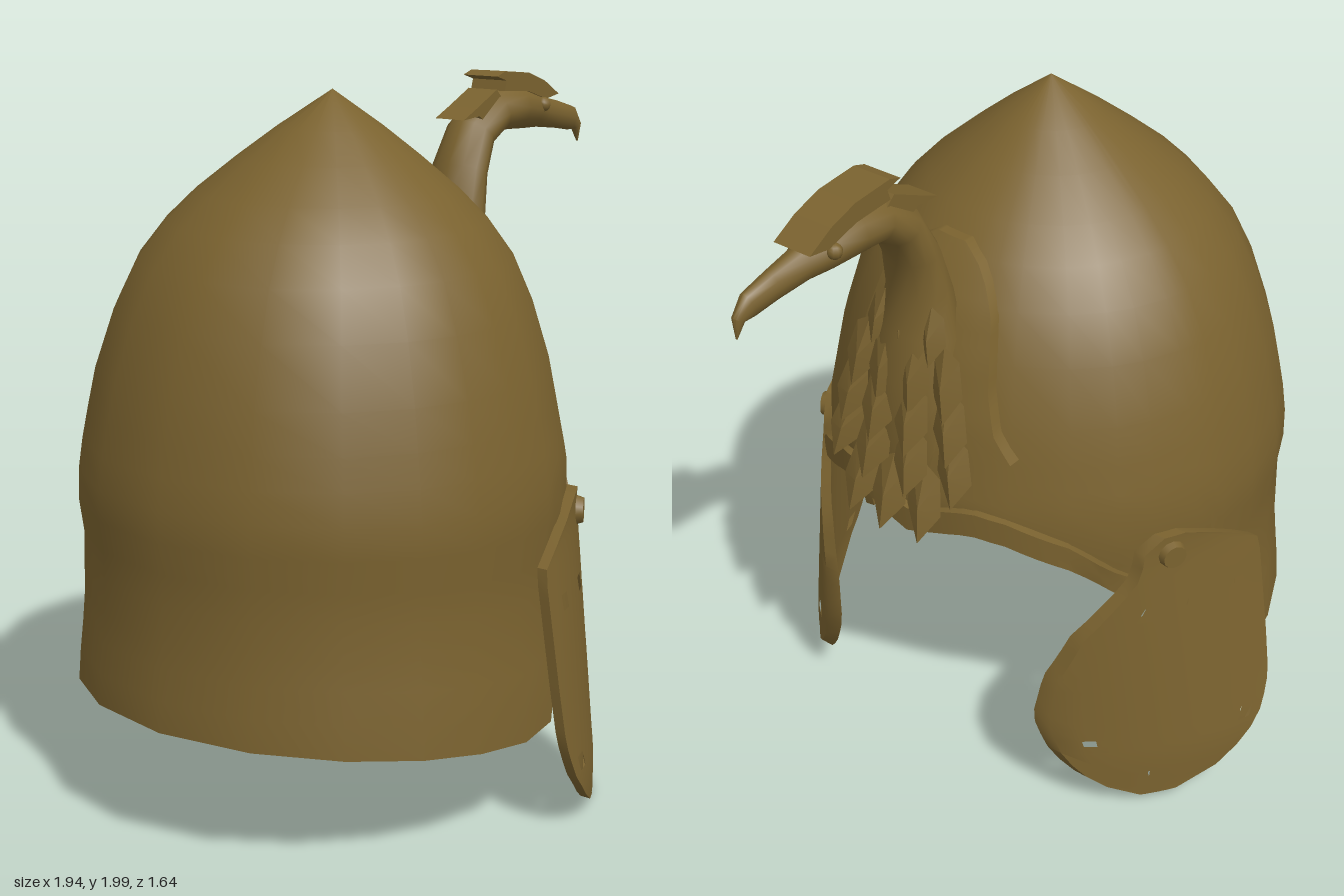
import * as THREE from 'three';
import { toCreasedNormals } from 'three/addons/utils/BufferGeometryUtils.js';

const bronze = new THREE.MeshStandardMaterial({ color: 0x7a622f, side: THREE.DoubleSide });
bronze.name = 'aged bronze';

const AXIS_X = -0.27;
const BIRD_Z = 0.055;

// Linear lookup in rows of [key, value, ...]
function look(table, k, col = 1) {
  if (k <= table[0][0]) return table[0][col];
  for (let i = 1; i < table.length; i++) {
    const a = table[i - 1], b = table[i];
    if (k <= b[0]) return a[col] + (b[col] - a[col]) * (k - a[0]) / (b[0] - a[0]);
  }
  return table[table.length - 1][col];
}

function addMesh(group, name, geometry) {
  const m = new THREE.Mesh(geometry, bronze);
  m.name = name;
  group.add(m);
  return m;
}

function geometryFrom(points, index, crease) {
  const g = new THREE.BufferGeometry();
  g.setAttribute('position', new THREE.Float32BufferAttribute(points.flatMap(p => [p.x, p.y, p.z]), 3));
  g.setIndex(index);
  return toCreasedNormals(g, crease);
}

// Curved plate with thickness: f(i, j, layer) gives a point, layer 0 outside, 1 inside
function shell(nu, nv, f, skip = () => false) {
  const pts = [], idx = [];
  const id = (i, j, l) => l * (nu + 1) * (nv + 1) + j * (nu + 1) + i;
  const quad = (a, b, c, d) => idx.push(a, b, c, a, c, d);
  for (let l = 0; l < 2; l++)
    for (let j = 0; j <= nv; j++)
      for (let i = 0; i <= nu; i++) pts.push(f(i, j, l));
  for (let j = 0; j < nv; j++)
    for (let i = 0; i < nu; i++) {
      if (skip(i, j)) continue;
      quad(id(i, j, 0), id(i, j + 1, 0), id(i + 1, j + 1, 0), id(i + 1, j, 0));
      quad(id(i, j, 1), id(i + 1, j, 1), id(i + 1, j + 1, 1), id(i, j + 1, 1));
    }
  for (let i = 0; i < nu; i++) {
    quad(id(i, 0, 0), id(i + 1, 0, 0), id(i + 1, 0, 1), id(i, 0, 1));
    quad(id(i, nv, 0), id(i, nv, 1), id(i + 1, nv, 1), id(i + 1, nv, 0));
  }
  for (let j = 0; j < nv; j++) {
    quad(id(0, j, 0), id(0, j, 1), id(0, j + 1, 1), id(0, j + 1, 0));
    quad(id(nu, j, 0), id(nu, j + 1, 0), id(nu, j + 1, 1), id(nu, j, 1));
  }
  return geometryFrom(pts, idx, 0.7);
}

// Bowl radius by height, and height of the lower edge by angle from the front
const PROFILE = [[0.29, 0.705], [0.4, 0.7], [0.6, 0.677], [0.8, 0.672], [0.84, 0.684], [1, 0.68], [1.15, 0.65],
  [1.26, 0.627], [1.42, 0.575], [1.55, 0.515], [1.65, 0.44], [1.73, 0.36], [1.82, 0.25], [1.9, 0.145], [2, 0]];
const EDGE = [[0, 0.88], [0.14, 0.91], [0.29, 0.935], [0.44, 0.92], [0.7, 0.85], [0.9, 0.74], [1.05, 0.68],
  [1.25, 0.6], [1.33, 0.52], [1.36, 0.4], [1.4, 0.31], [1.6, 0.3], [1.85, 0.32], [2.1, 0.34], [2.4, 0.36], [2.75, 0.375], [Math.PI, 0.38]];

function onBowl(y, angle, off) {
  const r = Math.max(0, look(PROFILE, y) + off);
  const lean = 0.015 + 0.04 * Math.max(0, (y - 1.05) / 0.95) ** 2;
  return new THREE.Vector3(AXIS_X + r * Math.cos(angle), y, lean + r * Math.sin(angle));
}

function buildBowl(group) {
  const half = EDGE.map(e => e[0]);
  const angles = [...half.slice(1).reverse().map(a => -a), ...half];
  const upper = PROFILE.filter(p => p[0] > 1.1).map(p => p[0]);
  const low = 9, nv = low + upper.length - 1;
  addMesh(group, 'helmetBowl', shell(angles.length - 1, nv, (i, j, l) => {
    const bottom = look(EDGE, Math.abs(angles[i]));
    const y = j < low ? bottom + (1.15 - bottom) * j / low : upper[j - low];
    const p = onBowl(y, angles[i], -0.03 * l);
    if (j === nv) p.y -= 0.03 * l;
    return p;
  }));
  // Raised rim over the face opening
  addMesh(group, 'browRim', shell(32, 2, (i, j, l) => {
    const a = -1 + i / 16;
    const bottom = look(EDGE, Math.abs(a));
    return onBowl(bottom - 0.005 + j * 0.037, a, l ? -0.035 : 0.022);
  }));
}

// Cheek guard outline: height, rear x, front x
const CHEEK = [[0.01, 0.08, 0.17], [0.06, -0.05, 0.25], [0.12, -0.13, 0.3], [0.2, -0.2, 0.33], [0.3, -0.235, 0.345],
  [0.45, -0.24, 0.325], [0.6, -0.24, 0.275], [0.7, -0.24, 0.21], [0.77, -0.24, 0.16], [0.81, -0.18, 0.145],
  [0.86, -0.09, 0.14], [0.89, -0.01, 0.125], [0.91, 0.03, 0.09]];
const HOLES = [[-0.15, 0.66], [0, 0.67], [0.12, 0.67], [-0.14, 0.22], [0.13, 0.08], [0.26, 0.2]];

function cheekPoint(x, y, off) {
  const drop = THREE.MathUtils.clamp((0.85 - y) / 0.7, 0, 1);
  const r = 0.725 + 0.11 * drop * (1 - 0.7 * (x + 0.24) / 0.57) + off;
  return new THREE.Vector3(x, y, Math.sqrt(r * r - (x - AXIS_X) ** 2));
}

function buildCheek(name) {
  const g = new THREE.Group();
  g.name = name;
  const nu = 12, nv = 20;
  const yAt = j => 0.01 + 0.9 * j / nv;
  const xAt = (i, y) => THREE.MathUtils.lerp(look(CHEEK, y, 1), look(CHEEK, y, 2), i / nu);
  const pierced = (i, j) => HOLES.some(([x, y]) =>
    y >= yAt(j) && y < yAt(j + 1) && x >= xAt(i, y) && x < xAt(i + 1, y));
  addMesh(g, 'cheekPlate', shell(nu, nv, (i, j, l) => cheekPoint(xAt(i, yAt(j)), yAt(j), -0.03 * l), pierced));
  const rivet = addMesh(g, 'cheekRivet', new THREE.CylinderGeometry(0.035, 0.045, 0.03, 12));
  rivet.position.copy(cheekPoint(0.07, 0.85, 0.005));
  const out = new THREE.Vector3(rivet.position.x - AXIS_X, 0, rivet.position.z).normalize();
  rivet.quaternion.setFromUnitVectors(new THREE.Vector3(0, 1, 0), out);
  return g;
}

// Chest, neck, head and hooked beak: x, y, half depth, half width
const BODY = [[0.4, 0.98, 0.02, 0.09], [0.38, 1.15, 0.055, 0.14], [0.34, 1.32, 0.085, 0.15], [0.305, 1.47, 0.095, 0.125],
  [0.305, 1.6, 0.075, 0.1], [0.335, 1.72, 0.062, 0.09], [0.39, 1.82, 0.062, 0.078], [0.48, 1.875, 0.064, 0.08],
  [0.58, 1.885, 0.07, 0.085], [0.67, 1.87, 0.06, 0.07], [0.74, 1.855, 0.047, 0.045], [0.84, 1.838, 0.042, 0.032],
  [0.92, 1.82, 0.038, 0.025], [0.955, 1.795, 0.02, 0.016], [0.965, 1.745, 0.002, 0.003]];

function buildBird(group) {
  const n = 12, pts = [], idx = [];
  BODY.forEach(([x, y, h, w], s) => {
    const a = BODY[Math.max(0, s - 1)], b = BODY[Math.min(BODY.length - 1, s + 1)];
    const t = Math.atan2(b[1] - a[1], b[0] - a[0]);
    for (let k = 0; k < n; k++) {
      const q = k / n * Math.PI * 2, c = h * Math.cos(q);
      pts.push(new THREE.Vector3(x - Math.sin(t) * c, y + Math.cos(t) * c,
        BIRD_Z + 0.03 * Math.max(0, x - 0.4) + w * Math.sin(q)));
      if (s) {
        const k2 = (k + 1) % n, p = (s - 1) * n, o = s * n;
        idx.push(p + k, p + k2, o + k2, p + k, o + k2, o + k);
      }
    }
  });
  addMesh(group, 'birdNeckAndHead', geometryFrom(pts, idx, 0.8));

  // Flat crest over the brow, nape tufts and eyes
  const plate = (name, corners, width, z) => {
    const g = new THREE.ExtrudeGeometry(new THREE.Shape(corners.map(c => new THREE.Vector2(...c))),
      { depth: width, bevelEnabled: false });
    addMesh(group, name, g).position.z = z - width / 2;
  };
  plate('headCrest', [[0.43, 1.985], [0.47, 1.997], [0.6, 1.985], [0.69, 1.955], [0.77, 1.91], [0.7, 1.9], [0.6, 1.93], [0.47, 1.94], [0.48, 1.97]], 0.12, BIRD_Z + 0.005);
  plate('napeTuft', [[0.28, 1.87], [0.35, 1.9], [0.45, 1.945], [0.5, 1.9], [0.4, 1.85], [0.36, 1.875]], 0.1, BIRD_Z);
  for (const s of [-1, 1]) {
    const eye = addMesh(group, s > 0 ? 'leftEye' : 'rightEye', new THREE.SphereGeometry(0.022, 10, 8));
    eye.position.set(0.68, 1.885, BIRD_Z + 0.008 + s * 0.06);
  }

  // Overlapping breast feathers: top x, top y, tip x, tip y, half width, side offsets
  const rows = [[0.36, 1.58, 0.405, 1.42, 0.045, [-0.08, 0, 0.08]],
    [0.385, 1.48, 0.44, 1.27, 0.055, [-0.13, -0.045, 0.045, 0.13]],
    [0.405, 1.36, 0.47, 1.15, 0.06, [-0.15, -0.05, 0.05, 0.15]],
    [0.425, 1.23, 0.49, 1.03, 0.06, [-0.17, -0.06, 0.06, 0.17]],
    [0.43, 1.12, 0.505, 0.9, 0.06, [-0.1, 0, 0.1]]];
  for (const [x0, y0, x1, y1, w, offsets] of rows)
    for (const o of offsets) {
      const at = (t, side, lift) => new THREE.Vector3(x0 + (x1 - x0) * t - 1.4 * o * o + lift,
        y0 + (y1 - y0) * t, BIRD_Z + o * (1 + 0.25 * t) + side * w);
      const p = [at(0, 0, 0), at(0.15, 0.8, -0.01), at(0.6, 1, -0.015), at(1, 0, 0), at(0.6, -1, -0.015),
        at(0.15, -0.8, -0.01), at(0.55, 0, 0.015), at(0.5, 0, -0.04)];
      const f = [];
      for (let k = 0; k < 6; k++) f.push(6, (k + 1) % 6, k, 7, k, (k + 1) % 6);
      addMesh(group, 'breastFeather', geometryFrom(p, f, 0.2));
    }

  // Mantle lying on the bowl, ending in two pointed tails: height, inner, outer
  const mantle = [[1.17, 0.3, 0.32], [1.24, 0.2, 0.27], [1.35, 0.1, 0.235], [1.42, 0, 0.225], [1.55, 0, 0.195], [1.64, 0, 0.13], [1.685, 0, 0.05]];
  for (const s of [-1, 1])
    addMesh(group, s > 0 ? 'leftMantle' : 'rightMantle', shell(6, 14, (i, j, l) => {
      const y = 1.17 + 0.515 * j / 14, off = l ? -0.015 : 0.032;
      const z = s * THREE.MathUtils.lerp(look(mantle, y, 1), look(mantle, y, 2), i / 6) + 0.025;
      return onBowl(y, Math.asin(z / (look(PROFILE, y) + off)), off);
    }));
}

export function createModel() {
  const model = new THREE.Group();
  model.name = 'birdHelmet';
  buildBowl(model);
  const left = buildCheek('nearCheekGuard');
  const right = buildCheek('farCheekGuard');
  right.scale.z = -1;
  right.position.set(0.01, 0.035, 0);
  model.add(left, right);
  const bird = new THREE.Group();
  bird.name = 'birdOrnament';
  buildBird(bird);
  model.add(bird);
  return model;
}
